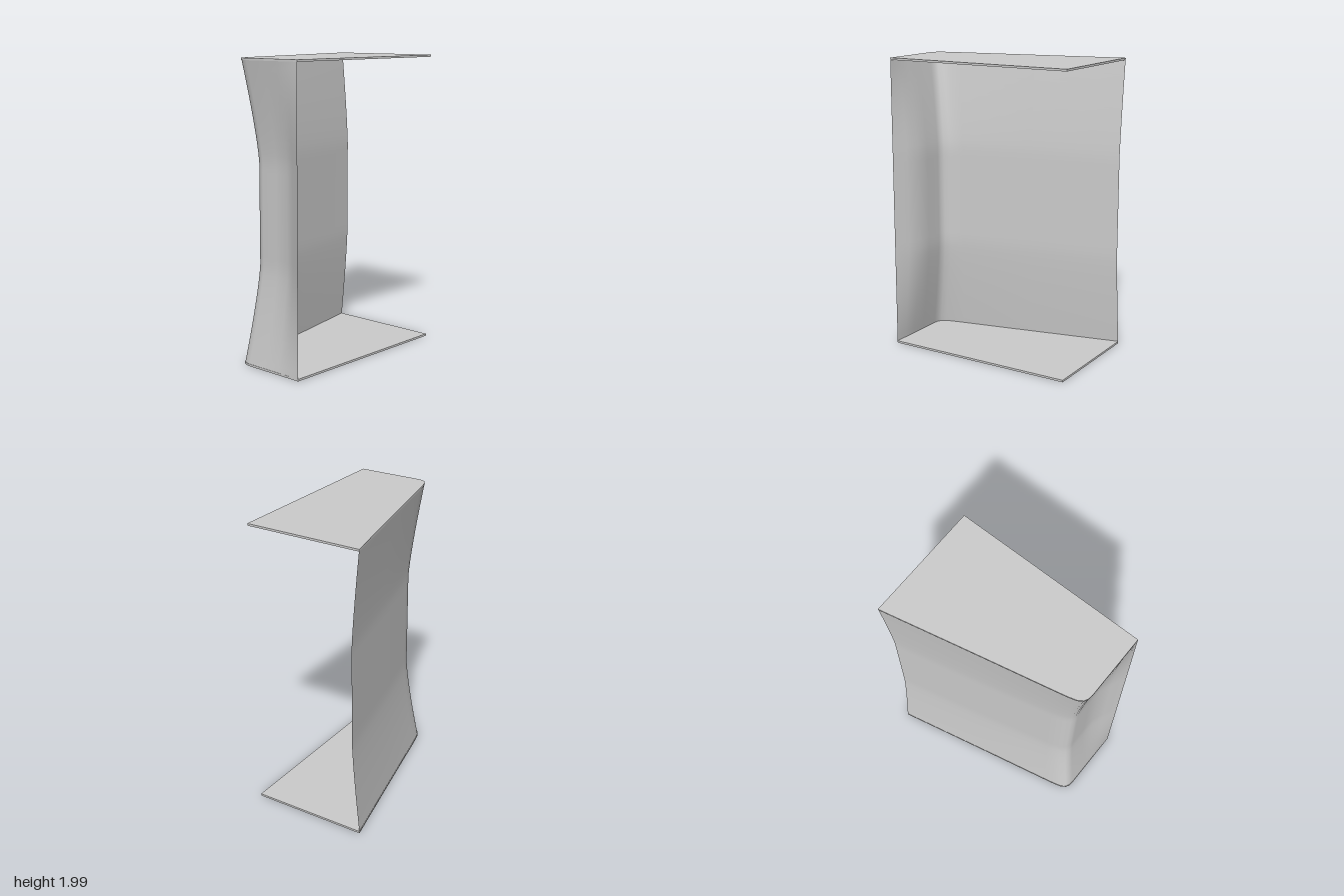
import * as THREE from 'three';

// Rounded wall profile at the plates, as [x, z], and how far each point moves at mid height
const PROFILE = [
  [-0.405, -0.66, 0.055, 0], [-0.27, -0.05, 0.055, -0.01], [-0.155, 0.48, 0.06, -0.05],
  [-0.138, 0.555, 0.06, -0.075], [-0.122, 0.61, 0.06, -0.09], [-0.1, 0.642, 0.06, -0.09],
  [-0.075, 0.655, 0.06, -0.09], [-0.04, 0.66, 0.05, -0.09], [0.1, 0.66, 0.03, -0.09],
  [0.22, 0.66, 0.01, -0.085], [0.31, 0.66, 0, -0.05], [0.4, 0.66, 0, 0],
];
const BOTTOM = 0.01, TOP = 2, THICK = 0.014;

// 0 at the plates, 1 along the flat middle band
function pinch(y) {
  const s = Math.min(1, Math.min(y - BOTTOM, TOP - y) / 0.66);
  return 1 - Math.pow(1 - s, 1.25);
}

function wallGeometry(rows = 36) {
  const pos = [], idx = [], n = PROFILE.length;
  for (let r = 0; r <= rows; r++) {
    const y = BOTTOM + (TOP - BOTTOM) * r / rows, t = pinch(y);
    for (const [x, z, dx, dz] of PROFILE) pos.push(x + dx * t, y, z + dz * t);
  }
  for (let r = 0; r < rows; r++) {
    for (let i = 0; i < n - 1; i++) {
      const a = r * n + i, b = a + 1, c = a + n, d = c + 1;
      idx.push(a, b, d, a, d, c);
    }
  }
  const g = new THREE.BufferGeometry();
  g.setAttribute('position', new THREE.Float32BufferAttribute(pos, 3));
  g.setIndex(idx);
  g.computeVertexNormals();
  return g;
}

// Thin trapezoid plate following the wall outline
function plateGeometry() {
  const shape = new THREE.Shape(PROFILE.map(([x, z]) => new THREE.Vector2(x, z)));
  shape.lineTo(0.4, -0.66);
  shape.closePath();
  const g = new THREE.ExtrudeGeometry(shape, { depth: THICK, bevelEnabled: false });
  return g.rotateX(Math.PI / 2);
}

export function createModel() {
  const group = new THREE.Group();
  const material = new THREE.MeshStandardMaterial({ color: 0xcccccc, side: THREE.DoubleSide });

  const add = (name, geometry, y = 0) => {
    const mesh = new THREE.Mesh(geometry, material);
    mesh.name = name;
    mesh.position.y = y;
    group.add(mesh);
  };

  // Pinched front and slanted side in one bent sheet
  add('bentWall', wallGeometry());

  // Plates closing the top and bottom
  const plate = plateGeometry();
  add('topPlate', plate, TOP);
  add('bottomPlate', plate, BOTTOM + THICK);

  return group;
}
